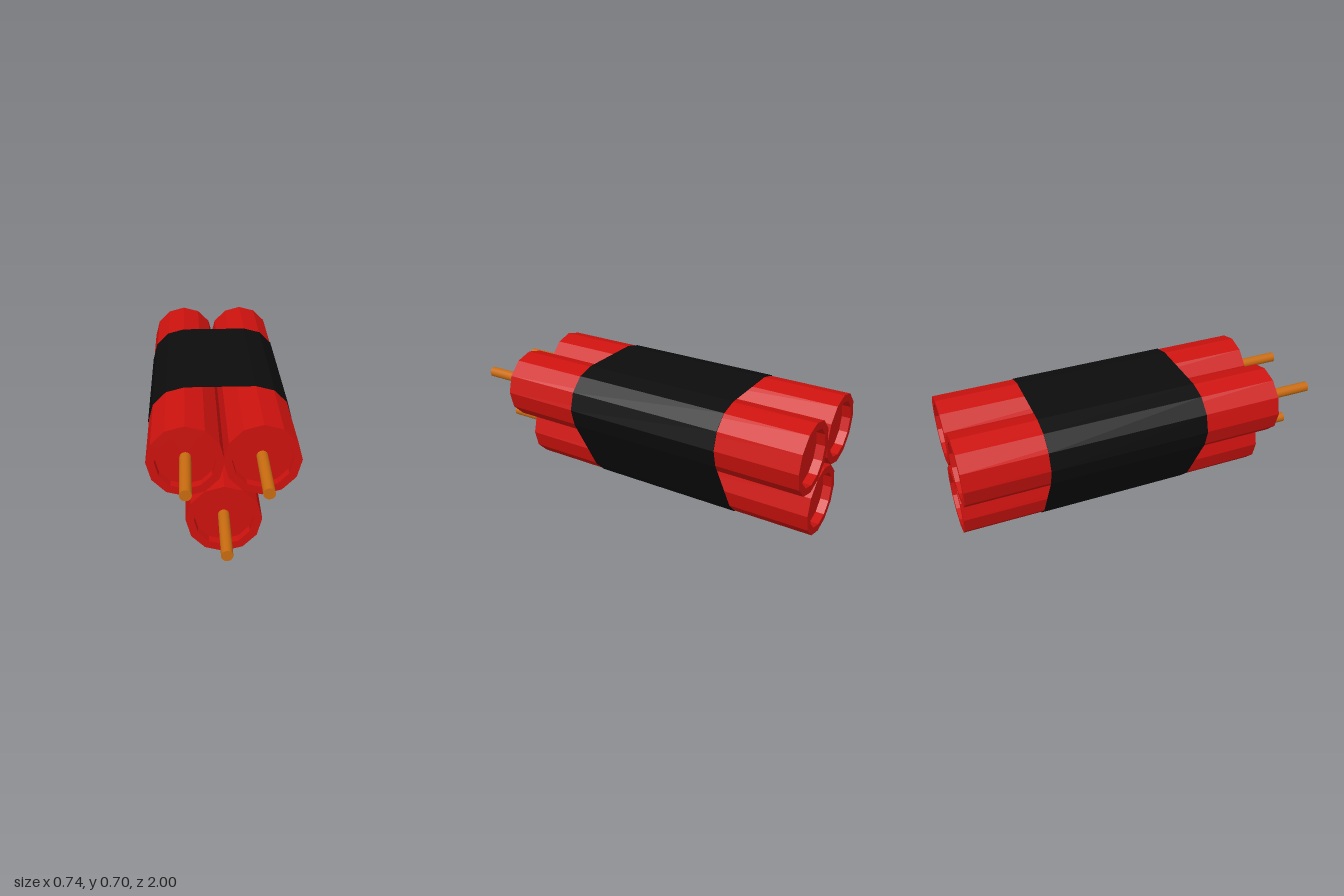
import * as THREE from 'three';

const R = 0.185, INNER = 0.145, BACK = -1, FRONT = 0.71, RECESS = 0.045;

// Centres of the bundled sticks, with the first angle (degrees) each one gives the wrap
const STICKS = [
  { name: 'leftStick', x: 0.181, y: 0.512, start: -30 },
  { name: 'rightStick', x: -0.181, y: 0.512, start: 90 },
  { name: 'lowerStick', x: 0, y: 0.189, start: 210 },
];

// Outline stretched around all three sticks
function wrapOutline(radius) {
  const points = [];
  for (const s of STICKS) {
    for (let i = 0; i <= 4; i++) {
      const a = THREE.MathUtils.degToRad(s.start + i * 30);
      points.push(new THREE.Vector2(s.x + radius * Math.cos(a), s.y + radius * Math.sin(a)));
    }
  }
  return points;
}

export function createModel() {
  const model = new THREE.Group();
  const red = new THREE.MeshStandardMaterial({ color: 0xcc120e, flatShading: true });
  const orange = new THREE.MeshStandardMaterial({ color: 0xc96c10 });
  const black = new THREE.MeshStandardMaterial({ color: 0x0c0c0c, flatShading: true });

  // Twelve-sided tube with a shallow recess in each end
  const profile = [
    [0, BACK + RECESS], [INNER, BACK + RECESS], [INNER, BACK], [R, BACK],
    [R, FRONT], [INNER, FRONT], [INNER, FRONT - RECESS], [0, FRONT - RECESS],
  ].map(([r, z]) => new THREE.Vector2(r, z));
  const stickGeometry = new THREE.LatheGeometry(profile, 12).rotateX(Math.PI / 2);

  // Fuse rising from the front recess
  const fuseStart = FRONT - RECESS;
  const fuseGeometry = new THREE.CylinderGeometry(0.028, 0.028, 1 - fuseStart, 16)
    .rotateX(Math.PI / 2).translate(0, 0, (1 + fuseStart) / 2);

  for (const s of STICKS) {
    const group = new THREE.Group();
    group.name = s.name;
    group.position.set(s.x, s.y, 0);
    const body = new THREE.Mesh(stickGeometry, red);
    body.name = 'stickBody';
    const fuse = new THREE.Mesh(fuseGeometry, orange);
    fuse.name = 'fuse';
    group.add(body, fuse);
    model.add(group);
  }

  // Thin band of tape, open at both ends
  const shape = new THREE.Shape(wrapOutline(0.189));
  shape.holes.push(new THREE.Path(wrapOutline(0.186)));
  const tapeGeometry = new THREE.ExtrudeGeometry(shape, { depth: 0.85, bevelEnabled: false });
  const tape = new THREE.Mesh(tapeGeometry.translate(0, 0, -0.57), black);
  tape.name = 'tape';
  model.add(tape);

  return model;
}
